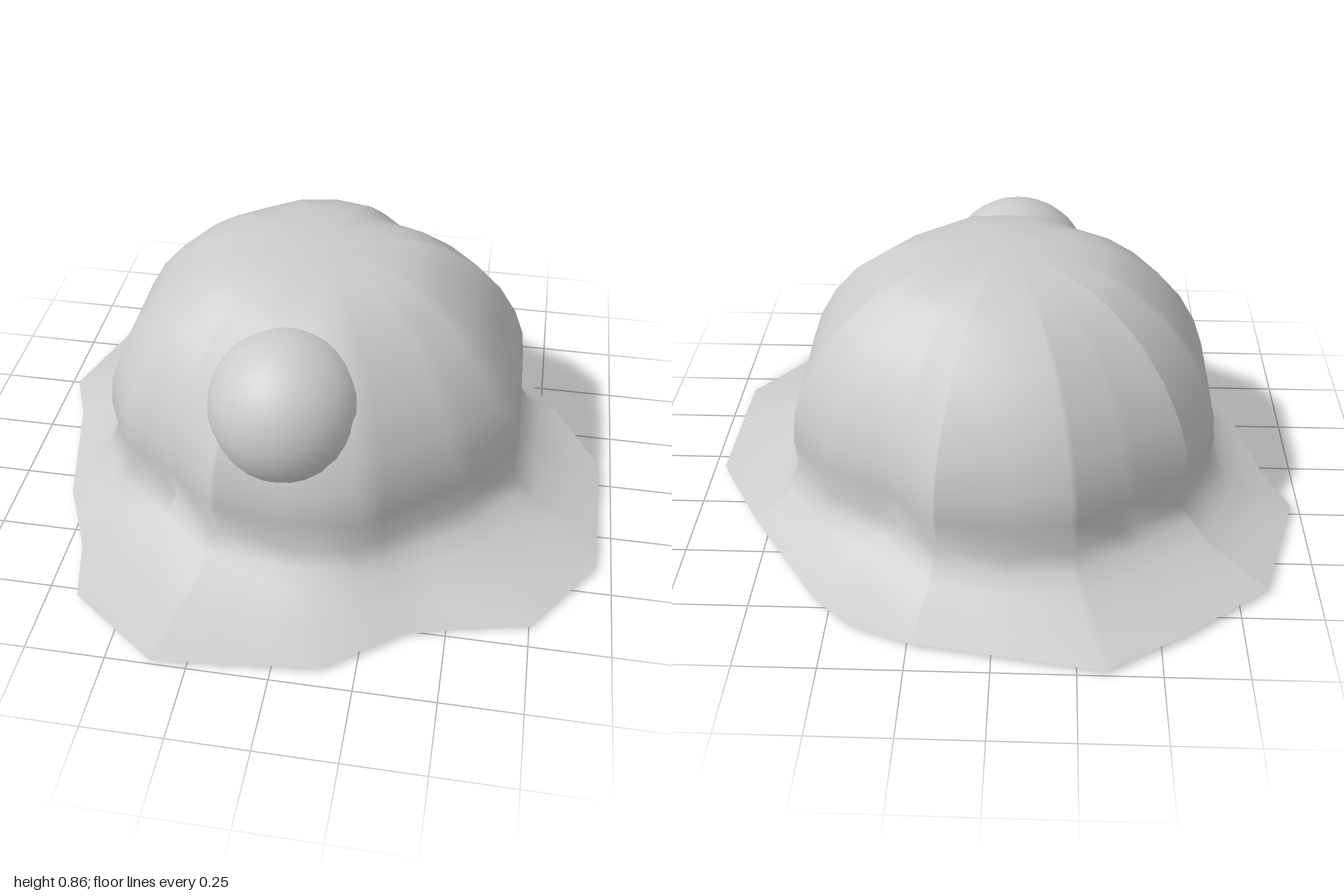
import * as THREE from 'three';

const CX = -0.015, CZ = -0.035;
// Plan outlines as [x, z] corners
const domePlan = [[-0.04, -0.73], [0.18, -0.69], [0.33, -0.56], [0.53, -0.45], [0.66, -0.3], [0.67, 0.18],
  [0.53, 0.37], [0.21, 0.63], [-0.02, 0.65], [-0.25, 0.62], [-0.4, 0.49], [-0.59, 0.37], [-0.69, 0.18],
  [-0.69, -0.25], [-0.59, -0.45], [-0.43, -0.57], [-0.25, -0.69]];
const brimPlan = [[-0.33, -1], [0.24, -0.91], [0.43, -0.84], [0.55, -0.73], [0.8, -0.36], [0.96, -0.08],
  [0.95, 0.4], [0.76, 0.67], [0.54, 0.72], [0.38, 0.77], [0.14, 0.95], [-0.36, 1], [-0.65, 0.79],
  [-0.7, 0.58], [-0.81, 0.34], [-0.9, -0.06], [-0.97, -0.23], [-0.84, -0.64], [-0.57, -0.85]];

const centred = (plan) => plan.map(([x, z]) => [x - CX, z - CZ]);
const angleOf = ([x, z]) => Math.atan2(z, x);
const cross = (a, b) => a[0] * b[1] - a[1] * b[0];
const bump = (a, at, w) => {
  const d = Math.atan2(Math.sin(a - at), Math.cos(a - at));
  return Math.exp(-((d / w) ** 2));
};

// Distance from the centre to the outline in direction a
function radiusAt(plan, a) {
  const d = [Math.cos(a), Math.sin(a)];
  for (let i = 0; i < plan.length; i++) {
    const p = plan[i], q = plan[(i + 1) % plan.length];
    if (cross(p, d) >= -1e-9 && cross(d, q) >= -1e-9) {
      const e = [q[0] - p[0], q[1] - p[1]];
      return cross(p, e) / cross(d, e);
    }
  }
  return 0.7;
}

// Joins rings of points, top ring first, into one smooth surface
function loft(rings) {
  const n = rings[0].length, index = [];
  for (let r = 0; r < rings.length - 1; r++) {
    for (let i = 0; i < n; i++) {
      const a = r * n + i, b = r * n + (i + 1) % n;
      if (r > 0) index.push(a, b, a + n);
      index.push(b, b + n, a + n);
    }
  }
  const g = new THREE.BufferGeometry();
  g.setAttribute('position', new THREE.Float32BufferAttribute(rings.flat(2), 3));
  g.setIndex(index);
  g.computeVertexNormals();
  // One shared upright normal at the crown's pole
  for (let i = 0; i < n; i++) g.attributes.normal.setXYZ(i, 0, 1, 0);
  return g;
}

export function createModel() {
  const group = new THREE.Group();
  const material = new THREE.MeshStandardMaterial({ color: 0xcccccc, side: THREE.DoubleSide });
  const dome = centred(domePlan), brim = centred(brimPlan);
  const angles = [...dome, ...brim].map(angleOf).sort((a, b) => a - b);
  const point = (a, r, y) => [CX + r * Math.cos(a), y, CZ + r * Math.sin(a)];

  // Crown: [share of the plan radius, height], with a shallow valley at the back
  const crown = [[0, 0.86], [0.15, 0.865], [0.33, 0.85], [0.46, 0.825], [0.57, 0.79], [0.73, 0.705],
    [0.85, 0.605], [0.935, 0.5], [0.985, 0.4], [1, 0.3], [0.985, 0.19]];
  const rings = crown.map(([s, y]) => angles.map((a) => {
    const valley = 0.06 * bump(a, -0.98, 0.25) * Math.max(0, (y - 0.4) / 0.46);
    return point(a, radiusAt(dome, a) * s * (1 - valley), y);
  }));

  // Brim: flares from the crown's foot to the uneven edge
  for (const [t, y] of [[0.1, 0.145], [0.25, 0.1], [0.6, 0.055], [1, 0.02]]) {
    rings.push(angles.map((a) => {
      const inner = radiusAt(dome, a), outer = radiusAt(brim, a);
      return point(a, inner + (outer - inner) * t, y - 0.02 * t * bump(a, 0.82, 0.3));
    }));
  }
  const hat = new THREE.Mesh(loft(rings), material);
  hat.name = 'crownAndBrim';
  group.add(hat);

  // Round lamp set into the front
  const lamp = new THREE.Mesh(new THREE.SphereGeometry(0.25, 32, 20), material);
  lamp.name = 'frontLamp';
  lamp.position.set(-0.04, 0.56, 0.405);
  group.add(lamp);
  return group;
}
